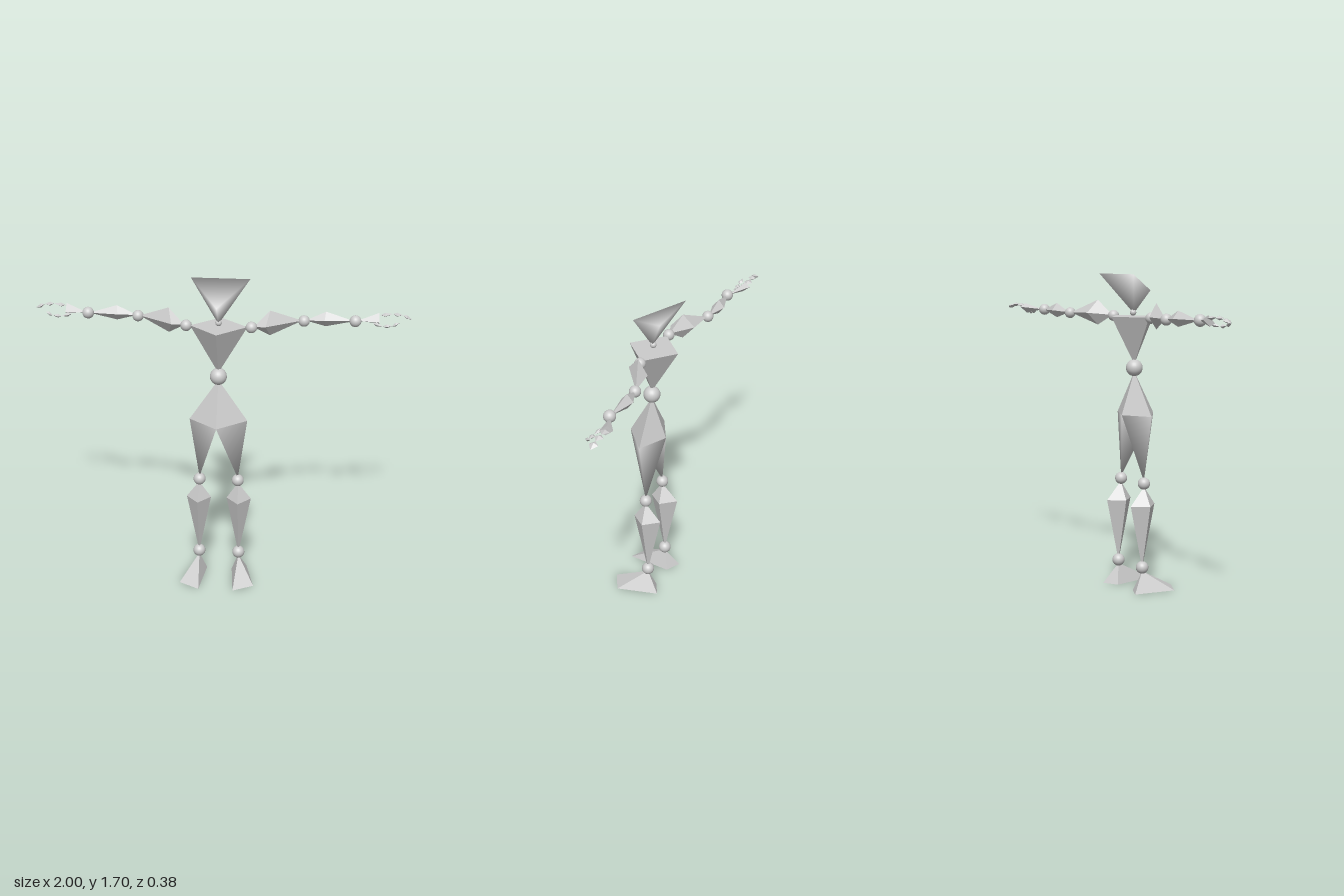
import * as THREE from 'three';
import { ConvexGeometry } from 'three/addons/geometries/ConvexGeometry.js';
import { mergeVertices } from 'three/addons/utils/BufferGeometryUtils.js';

export function createModel() {
  const model = new THREE.Group();
  const material = new THREE.MeshStandardMaterial({ color: 0xcccccc });

  const add = (parent, name, geometry) => {
    const mesh = new THREE.Mesh(geometry, material);
    mesh.name = name;
    parent.add(mesh);
    return mesh;
  };

  // Faceted solid around a few corners; side = -1 mirrors it in x
  const solid = (parent, name, corners, { side = 1, smooth = false } = {}) => {
    let geometry = new ConvexGeometry(corners.map(([x, y, z]) => new THREE.Vector3(x * side, y, z)));
    if (smooth) {
      geometry.deleteAttribute('normal');
      geometry = mergeVertices(geometry, 1e-4);
      geometry.computeVertexNormals();
    }
    return add(parent, name, geometry);
  };

  const ball = (parent, name, [x, y, z], radius, side = 1) =>
    add(parent, name, new THREE.SphereGeometry(radius, 24, 16)).position.set(x * side, y, z);

  // Head: tetrahedron standing on its point
  solid(model, 'head', [[0, 1.49, 0.01], [-0.155, 1.7, -0.105], [0.155, 1.7, -0.105], [0, 1.61, 0.12]], { smooth: true });
  ball(model, 'neckJoint', [0, 1.495, 0.005], 0.017);

  // Torso and pelvis: opposed four-sided pyramids around the waist joint
  solid(model, 'torso', [[0, 1.22, 0.013], [0, 1.475, 0.14], [0.15, 1.475, 0], [0, 1.475, -0.135], [-0.15, 1.475, 0]]);
  ball(model, 'waistJoint', [0, 1.2, 0.013], 0.045);
  const hipFront = [0, 0.95, 0.14], hipBack = [0, 0.95, -0.07], hipSide = [0.155, 0.95, 0.013];
  solid(model, 'pelvis', [[0, 1.18, 0.013], hipFront, hipBack, hipSide, [-0.155, 0.95, 0.013]]);

  for (const side of [1, -1]) {
    const prefix = side > 0 ? 'left' : 'right';

    // Leg
    const leg = new THREE.Group();
    leg.name = prefix + 'Leg';
    model.add(leg);
    solid(leg, 'thigh', [hipFront, hipBack, hipSide, [0.105, 0.6, 0]], { side, smooth: true });
    ball(leg, 'kneeJoint', [0.105, 0.587, 0], 0.033, side);
    solid(leg, 'shin', [
      [0.107, 0.57, 0], [0.11, 0.125, -0.015],
      [0.177, 0.472, -0.01], [0.043, 0.472, -0.01], [0.11, 0.472, 0.067], [0.11, 0.472, -0.09],
    ], { side });
    ball(leg, 'ankleJoint', [0.11, 0.13, -0.015], 0.034, side);
    solid(leg, 'foot', [
      [0.11, 0.11, -0.015],
      [0.095, 0, 0.193], [0.205, 0, 0.132], [0.15, 0, -0.09], [0.07, 0, -0.048],
    ], { side });

    // Arm
    const arm = new THREE.Group();
    arm.name = prefix + 'Arm';
    model.add(arm);
    ball(arm, 'shoulderJoint', [0.17, 1.473, -0.003], 0.03, side);
    solid(arm, 'upperArm', [
      [0.18, 1.475, -0.003], [0.43, 1.482, -0.108],
      [0.265, 1.555, -0.04], [0.265, 1.42, -0.04], [0.245, 1.485, 0.022], [0.282, 1.485, -0.1],
    ], { side });
    ball(arm, 'elbowJoint', [0.438, 1.48, -0.108], 0.03, side);
    solid(arm, 'forearm', [
      [0.445, 1.482, -0.112], [0.7, 1.487, -0.11],
      [0.552, 1.53, -0.122], [0.552, 1.45, -0.122], [0.545, 1.49, -0.088], [0.55, 1.49, -0.155],
    ], { side });
    ball(arm, 'wristJoint', [0.705, 1.488, -0.108], 0.031, side);
    solid(arm, 'hand', [
      [0.715, 1.488, -0.115],
      [0.83, 1.52, -0.16], [0.83, 1.465, -0.15], [0.83, 1.5, -0.192], [0.83, 1.48, -0.118],
    ], { side });

    // Finger and thumb: chains of small pointed segments
    const digits = {
      finger: [[0.835, 1.505, -0.165], [0.9, 1.513, -0.167], [0.952, 1.508, -0.166], [1, 1.488, -0.163]],
      thumb: [[0.795, 1.476, -0.118], [0.848, 1.466, -0.102], [0.895, 1.47, -0.1], [0.935, 1.488, -0.106]],
    };
    for (const [name, path] of Object.entries(digits)) {
      const w = name === 'finger' ? 0.024 : 0.014;
      for (let i = 0; i < 3; i++) {
        const [a, b] = [path[i], path[i + 1]];
        const [x, y, z] = a.map((v, k) => v + (b[k] - v) * 0.4);
        solid(arm, name + 'Segment' + (i + 1),
          [a, b, [x, y + 0.011, z], [x, y - 0.011, z], [x, y, z + w], [x, y, z - w]], { side });
      }
    }
  }
  return model;
}
